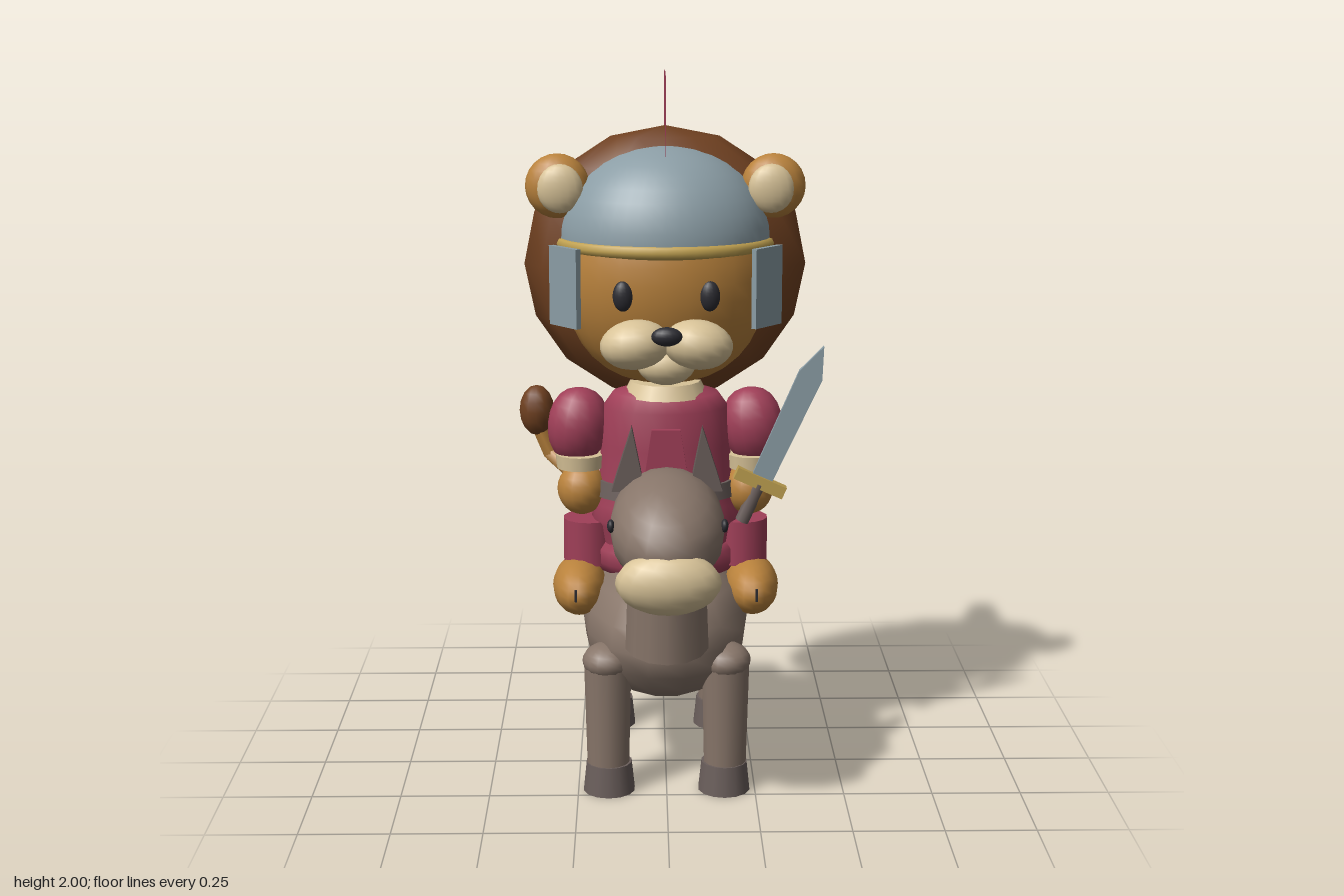
import * as THREE from 'three';

const mat = (name, color, side = THREE.FrontSide) => {
  const m = new THREE.MeshStandardMaterial({ color, side });
  m.name = name;
  return m;
};

export function createModel() {
  const root = new THREE.Group();
  root.name = 'lionKnightOnDonkey';
  const M = {
    crimson: mat('crimson cloth', 0xa03f58, THREE.DoubleSide),
    brown: mat('mane brown', 0x6f4020),
    tan: mat('golden fur', 0xb9823c),
    cream: mat('cream', 0xd8c398),
    steel: mat('steel', 0x8b9da5, THREE.DoubleSide),
    gold: mat('brass', 0xbfa050),
    taupe: mat('donkey hide', 0x877569),
    dark: mat('dark hide', 0x6a5e5b),
    black: mat('black', 0x2b2b31),
  };

  const add = (name, geo, m, pos = [0, 0, 0], rot = [0, 0, 0], parent = root) => {
    const mesh = new THREE.Mesh(geo, m);
    mesh.name = name;
    mesh.position.set(...pos);
    mesh.rotation.set(...rot);
    parent.add(mesh);
    return mesh;
  };
  // Ellipsoid; p above 2 makes it boxier
  const ball = (rx, ry, rz, p = 2, ws = 16, hs = 12) => {
    const g = new THREE.SphereGeometry(1, ws, hs);
    const a = g.attributes.position, v = new THREE.Vector3();
    for (let i = 0; i < a.count; i++) {
      v.fromBufferAttribute(a, i);
      const n = Math.pow(Math.abs(v.x) ** p + Math.abs(v.y) ** p + Math.abs(v.z) ** p, 1 / p);
      a.setXYZ(i, v.x / n, v.y / n, v.z / n);
    }
    return g.scale(rx, ry, rz);
  };
  // Tapered rod from point a to point b
  const rod = (name, a, b, ra, rb, m, segs = 12) => {
    const A = new THREE.Vector3(...a), B = new THREE.Vector3(...b);
    const d = B.clone().sub(A);
    const mesh = add(name, new THREE.CylinderGeometry(rb, ra, d.length(), segs), m);
    mesh.position.copy(A).add(B).multiplyScalar(0.5);
    mesh.quaternion.setFromUnitVectors(new THREE.Vector3(0, 1, 0), d.normalize());
    return mesh;
  };
  const outline = pts => new THREE.Shape(pts.map(p => new THREE.Vector2(...p)));
  const slab = (pts, depth) =>
    new THREE.ExtrudeGeometry(outline(pts), { depth, bevelEnabled: false }).translate(0, 0, -depth / 2);

  // ---- Donkey ----
  add('donkeyBody', ball(0.24, 0.2, 0.41, 2.25, 14, 10), M.taupe, [0, 0.43, -0.085]);
  rod('donkeyNeck', [0, 0.45, 0.25], [0, 0.86, 0.29], 0.14, 0.12, M.taupe, 14).scale.x = 0.84;
  add('donkeyHead', ball(0.155, 0.135, 0.21, 2.1), M.taupe, [0, 0.815, 0.355], [0.3, 0, 0]);
  add('donkeyMuzzle', ball(0.14, 0.088, 0.075), M.cream, [0, 0.71, 0.518], [0.2, 0, 0]);
  const strap = [[-0.43, 0.56], [-0.5, 0.54], [-0.597, 0.39], [-0.597, 0.215], [-0.555, 0.215], [-0.555, 0.38], [-0.44, 0.52]];
  add('donkeyTail', slab(strap, 0.11).rotateY(-Math.PI / 2), M.dark);
  for (const s of [1, -1]) {
    add('donkeyEye', ball(0.01, 0.018, 0.018), M.black, [s * 0.151, 0.835, 0.41]);
    add('donkeyEar', slab([[s * 0.065, 0.9], [s * 0.15, 0.9], [s * 0.135, 0.95], [s * 0.095, 1.075], [s * 0.07, 0.95]], 0.045),
      M.dark, [0, 0, 0.282]);
    for (const z of [0.2, -0.31]) {
      add('donkeyLeg', new THREE.CylinderGeometry(0.068, 0.06, 0.32, 14), M.taupe, [s * 0.165, 0.23, z]);
      add('donkeyHip', ball(0.07, 0.05, 0.075), M.taupe, [s * 0.166, 0.385, z]);
      add('hoof', new THREE.CylinderGeometry(0.065, 0.074, 0.085, 14), M.dark, [s * 0.163, 0.0425, z]);
    }
  }

  // ---- Saddle pad ----
  const pad = [[0, 0.56], [0.21, 0.58], [0.23, 0.61], [0.23, 0.65], [0.21, 0.672], [0, 0.675]];
  add('saddle', new THREE.LatheGeometry(pad.map(p => new THREE.Vector2(...p)), 24), M.crimson, [0, 0, -0.125]);

  // ---- Rider's body ----
  const tunic = [[0.18, 0.62], [0.2, 0.72], [0.212, 0.735], [0.205, 0.78], [0.192, 0.83], [0.185, 0.95],
    [0.178, 1.06], [0.15, 1.1], [0.08, 1.125]];
  add('tunic', new THREE.LatheGeometry(tunic.map(p => new THREE.Vector2(...p)), 24).scale(1, 1, 0.75), M.crimson, [0, 0, -0.06]);
  add('belt', new THREE.CylinderGeometry(0.2, 0.208, 0.045, 24).scale(1, 1, 0.76), M.dark, [0, 0.828, -0.06]);
  add('collar', new THREE.CylinderGeometry(0.1, 0.12, 0.04, 16), M.cream, [0, 1.115, -0.05]);
  add('tabard', slab([[-0.075, 0.79], [0.075, 0.79], [0.04, 1.02], [-0.04, 1.02]], 0.02), M.crimson, [0, 0, 0.085]);
  for (const s of [1, -1]) {
    add('sleeve', ball(0.086, 0.108, 0.08, 2.3), M.crimson, [s * 0.25, 1.0, -0.07], [0, 0, s * 0.12]);
    add('cuff', new THREE.CylinderGeometry(0.07, 0.066, 0.04, 16), M.cream, [s * 0.245, 0.9, -0.055]);
    add('hand', ball(0.07, 0.075, 0.07), M.tan, [s * 0.24, 0.82, -0.04]);
    add('thigh', new THREE.CylinderGeometry(0.075, 0.075, 0.13, 14), M.crimson, [s * 0.22, 0.665, -0.06]);
    add('foot', ball(0.077, 0.08, 0.152), M.tan, [s * 0.248, 0.54, -0.017]);
    add('toeLine', new THREE.BoxGeometry(0.006, 0.035, 0.008), M.black, [s * 0.255, 0.55, 0.132]);
  }

  // ---- Lion tail ----
  const path = [[0, 0.78, -0.2], [-0.25, 0.75, -0.385], [-0.345, 0.82, -0.46], [-0.385, 0.91, -0.455]];
  const radii = [0.012, 0.024, 0.026, 0.022];
  for (let i = 0; i < 3; i++) rod('lionTail', path[i], path[i + 1], radii[i], radii[i + 1], M.tan, 6);
  add('tailTuft', ball(0.053, 0.078, 0.05, 2, 12, 8), M.brown, [-0.387, 0.957, -0.455]);

  // ---- Lion head ----
  add('mane', ball(0.4, 0.39, 0.192, 2, 12, 8), M.brown, [0, 1.455, -0.14]);
  add('face', ball(0.285, 0.305, 0.225, 2.3, 28, 20), M.tan, [0, 1.435, -0.06]);
  add('chin', ball(0.08, 0.055, 0.06), M.cream, [0, 1.21, 0.115]);
  add('nose', ball(0.042, 0.026, 0.024), M.black, [0, 1.312, 0.238]);
  for (const s of [1, -1]) {
    add('muzzle', ball(0.097, 0.068, 0.078), M.cream, [s * 0.085, 1.277, 0.165], [0, 0, -s * 0.12]);
    add('eye', ball(0.028, 0.042, 0.02), M.black, [s * 0.118, 1.407, 0.148]);
    add('ear', ball(0.09, 0.09, 0.062), M.tan, [s * 0.3, 1.685, -0.048]);
    add('innerEar', ball(0.064, 0.068, 0.03), M.cream, [s * 0.292, 1.682, -0.005]);
  }

  // ---- Helmet: front dome, brim, cheek guards, rear plate and crest ----
  const dome = new THREE.SphereGeometry(1, 24, 10, 0, Math.PI, 0, Math.PI / 2).scale(0.3, 0.262, 0.257);
  add('helmet', dome, M.steel, [0, 1.535, -0.09]);
  add('helmetBrim', new THREE.TorusGeometry(0.292, 0.019, 8, 24, Math.PI).rotateX(Math.PI / 2).scale(1, 1, 0.865),
    M.gold, [0, 1.526, -0.09]);
  const rear = new THREE.SphereGeometry(1.015, 8, 4, Math.PI * 1.5 - 0.42, 0.84, 0.84, 0.28).scale(0.4, 0.39, 0.192);
  add('helmetRear', rear, M.steel, [0, 1.455, -0.14]);
  for (const s of [1, -1])
    add('cheekGuard', new THREE.BoxGeometry(0.12, 0.22, 0.016), M.steel, [s * 0.278, 1.42, 0.068], [0, s * 0.876, 0]);
  const crest = [[0.1, 1.925], [0.01, 2.0], [-0.3, 1.99], [-0.37, 1.87], [-0.265, 1.77], [0.06, 1.77]];
  add('crest', new THREE.ShapeGeometry(outline(crest)).rotateY(-Math.PI / 2), M.crimson);

  // ---- Sword in the left hand ----
  const sword = new THREE.Group();
  sword.name = 'sword';
  sword.position.set(0.268, 0.85, 0.015);
  sword.rotation.z = -0.42;
  root.add(sword);
  const blade = slab([[-0.03, 0], [0.03, 0], [0.036, 0.34], [0, 0.43], [-0.034, 0.34]], 0.016);
  add('blade', blade, M.steel, [0, 0, 0], [0, 0, 0], sword);
  add('guard', new THREE.BoxGeometry(0.15, 0.035, 0.035), M.gold, [0, 0, 0], [0, 0, 0], sword);
  add('grip', new THREE.CylinderGeometry(0.02, 0.02, 0.12, 8), M.dark, [0, -0.065, 0], [0, 0, 0], sword);
  return root;
}
